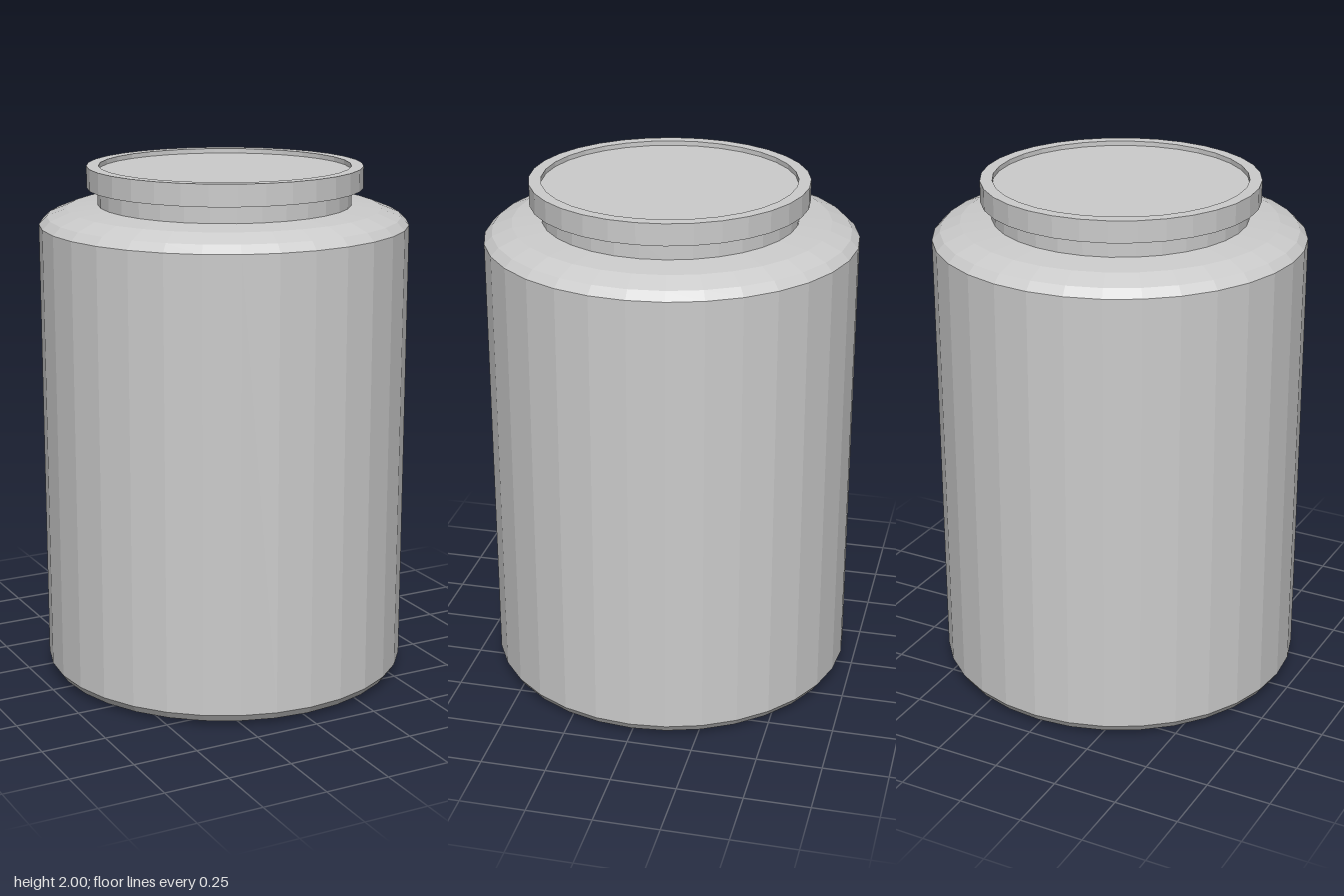
import * as THREE from 'three';

const SIDES = 32;

// Revolves [radius, height] points, listed from the bottom up, into a faceted part.
function turned(name, points) {
  const profile = points.map(([r, y]) => new THREE.Vector2(r, y));
  const material = new THREE.MeshStandardMaterial({ color: 0xcccccc, flatShading: true });
  const mesh = new THREE.Mesh(new THREE.LatheGeometry(profile, SIDES), material);
  mesh.name = name;
  return mesh;
}

export function createModel() {
  const jar = new THREE.Group();
  jar.name = 'jar';

  // Straight-sided body with bevelled foot and shoulder
  jar.add(turned('body', [
    [0, 0], [0.63, 0], [0.685, 0.02], [0.705, 0.05],
    [0.705, 1.78], [0.675, 1.81], [0.6, 1.84], [0.48, 1.853], [0, 1.853],
  ]));

  // Narrow neck, and the lid with a raised edge around its sunken top
  const neck = turned('neck', [[0.483, 1.845], [0.483, 1.92]]);
  const lid = turned('lid', [
    [0, 1.918], [0.525, 1.918], [0.525, 2], [0.479, 2], [0.479, 1.982], [0, 1.982],
  ]);
  neck.position.z = 0.005;
  lid.position.z = 0.008;
  jar.add(neck, lid);

  return jar;
}
